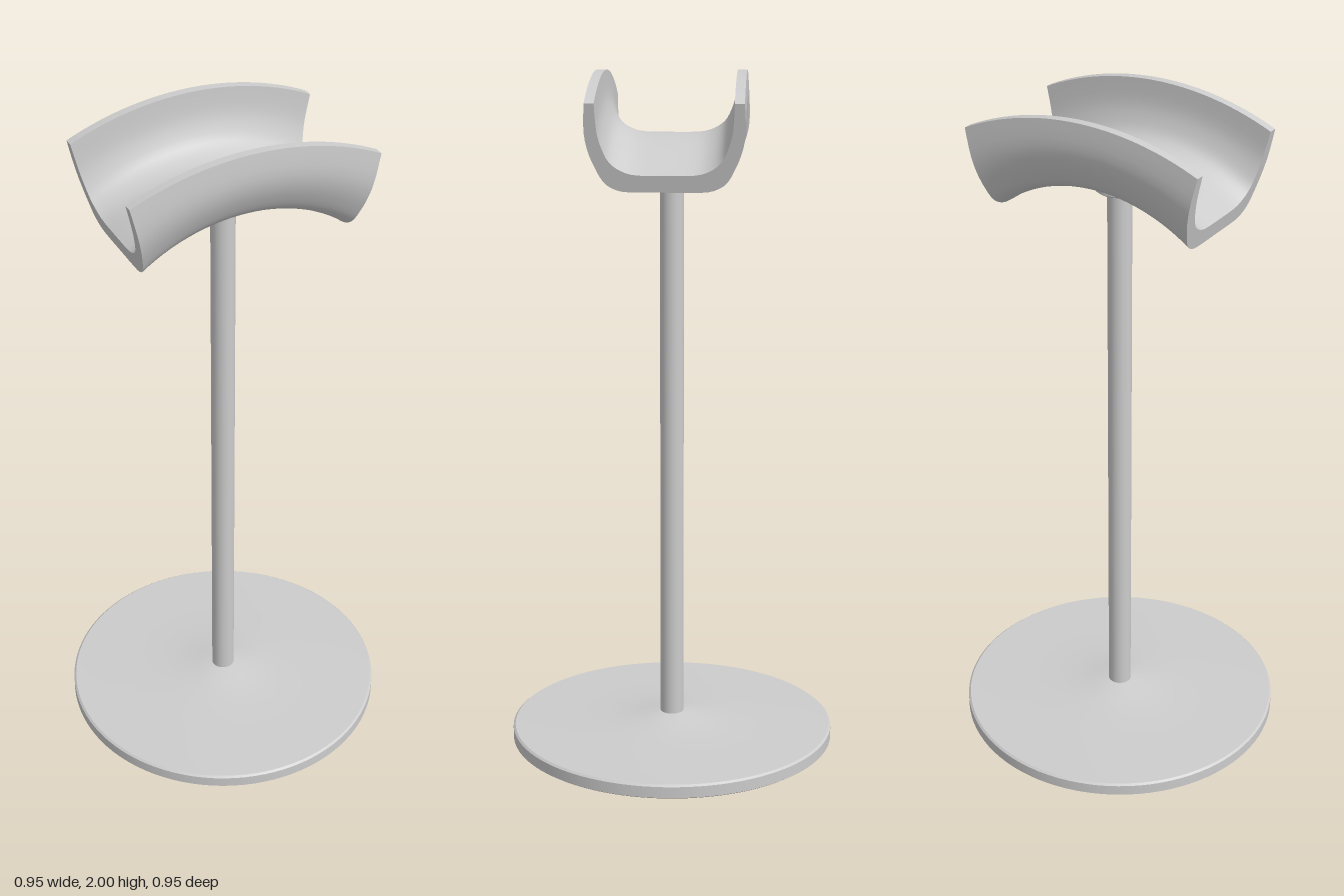
import * as THREE from 'three';
import { toCreasedNormals } from 'three/addons/utils/BufferGeometryUtils.js';

const V = (x, y) => new THREE.Vector2(x, y);

// Half profile (z, height fraction) made smooth, then mirrored into a full U
function uCurve(points) {
  const half = new THREE.SplineCurve(points.map(([z, h]) => V(z, h))).getPoints(18);
  return [...half, ...half.slice(0, -1).reverse().map(p => V(-p.x, p.y))];
}

// U-shaped channel arched over the post; its rim and underside follow different arcs
function cradleGeometry() {
  const outer = uCurve([[0.208, 1], [0.211, 0.7], [0.203, 0.48], [0.185, 0.28], [0.162, 0.11], [0.13, 0.025], [0.09, 0], [0, 0]]);
  const inner = uCurve([[0.182, 1], [0.178, 0.7], [0.166, 0.5], [0.147, 0.34], [0.115, 0.24], [0.075, 0.195], [0, 0.19]]);
  const ring = [...outer, ...inner.reverse()];
  const N = ring.length, S = 32, pos = [], index = [];
  const arc = (x, R) => R - Math.sqrt(R * R - x * x);
  for (let s = 0; s <= S; s++) {
    const t = (s / S) * 2 - 1;
    const xb = 0.295 * t, xt = 0.35 * t;
    const yb = 1.79 - arc(xb, 0.485), yt = 2 - arc(xt, 0.83);
    for (const p of ring) {
      pos.push(THREE.MathUtils.lerp(xb, xt, p.y), THREE.MathUtils.lerp(yb, yt, p.y), p.x);
    }
  }
  for (let s = 0; s < S; s++) {
    for (let i = 0; i < N; i++) {
      const a = s * N + i, c = s * N + (i + 1) % N, b = a + N, d = c + N;
      index.push(a, c, b, b, c, d);
    }
  }
  // end faces between the outer and inner curves
  for (let i = 0; i < outer.length - 1; i++) {
    const j = N - 1 - i, e = S * N;
    index.push(i, j, i + 1, i + 1, j, j - 1);
    index.push(e + i, e + i + 1, e + j, e + i + 1, e + j - 1, e + j);
  }
  const g = new THREE.BufferGeometry();
  g.setAttribute('position', new THREE.Float32BufferAttribute(pos, 3));
  g.setIndex(index);
  return toCreasedNormals(g, 0.6);
}

const lathe = (pts, n) => toCreasedNormals(new THREE.LatheGeometry(pts.map(([r, y]) => V(r, y)), n), 0.5);

// Rounded rectangular plate lying flat, from y0 upwards
function plate(w, d, y0, h) {
  const r = 0.02, x = w / 2, y = d / 2, s = new THREE.Shape();
  s.absarc(x - r, y - r, r, 0, Math.PI / 2);
  s.absarc(-x + r, y - r, r, Math.PI / 2, Math.PI);
  s.absarc(-x + r, -y + r, r, Math.PI, Math.PI * 1.5);
  s.absarc(x - r, -y + r, r, Math.PI * 1.5, Math.PI * 2);
  const g = new THREE.ExtrudeGeometry(s, { depth: h, bevelEnabled: false, curveSegments: 6 });
  return g.rotateX(-Math.PI / 2).translate(0, y0, 0);
}

export function createModel() {
  const grey = new THREE.MeshStandardMaterial({ color: 0xcccccc });
  grey.name = 'light grey';
  const model = new THREE.Group();
  model.name = 'stand';
  const add = (name, geometry) => {
    const m = new THREE.Mesh(geometry, grey);
    m.name = name;
    model.add(m);
    return m;
  };

  // round base rising gently towards the post
  add('base', lathe([[0, 0.049], [0.468, 0.049], [0.474, 0.053], [0.474, 0.085], [0.468, 0.09],
    [0.3, 0.093], [0.18, 0.098], [0.09, 0.108], [0.045, 0.118], [0, 0.12]], 96));

  // block under the base with a thin lip
  add('footBlock', plate(0.28, 0.585, 0.004, 0.047));
  add('footLip', plate(0.3, 0.605, 0, 0.006));

  // post and the collar beneath the cradle
  const post = new THREE.CylinderGeometry(0.034, 0.034, 1.69, 32);
  add('post', post.translate(0, 0.945, 0));
  add('collar', lathe([[0, 1.75], [0.06, 1.75], [0.067, 1.755], [0.067, 1.77], [0.074, 1.775],
    [0.074, 1.788], [0.066, 1.795], [0, 1.795]], 48));

  // cradle, turned very slightly on the post
  add('cradle', cradleGeometry()).rotation.y = -0.018;

  return model;
}
